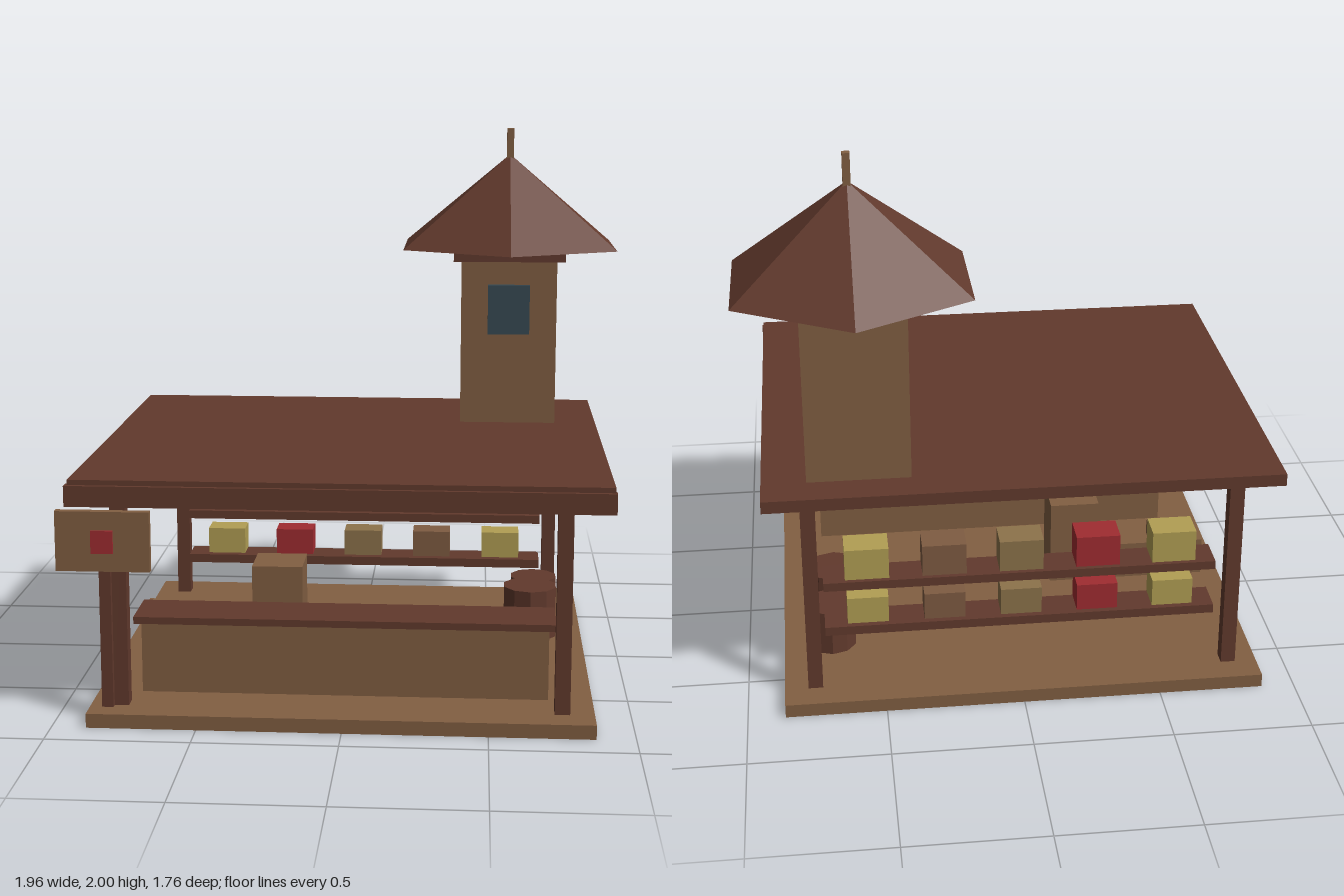
import * as THREE from 'three';

const mat = (name, color) => {
  const m = new THREE.MeshStandardMaterial({ color });
  m.name = name;
  return m;
};

export function createModel() {
  const wood = mat('light wood', 0x825f42);
  const dark = mat('dark wood', 0x623a2d);
  const red = mat('red', 0xa02c31);
  const yellow = mat('straw yellow', 0xb29f54);
  const tan = mat('tan', 0x8d734b);
  const brown = mat('brown', 0x7f5c42);
  const glass = mat('window blue', 0x374a54);

  const model = new THREE.Group();
  model.name = 'marketStall';

  const add = (name, geometry, material, x, y, z) => {
    const mesh = new THREE.Mesh(geometry, material);
    mesh.name = name;
    mesh.position.set(x, y, z);
    model.add(mesh);
    return mesh;
  };
  // Box given by its limits on each axis
  const box = (name, material, [x0, x1], [y0, y1], [z0, z1]) =>
    add(name, new THREE.BoxGeometry(x1 - x0, y1 - y0, z1 - z0), material,
      (x0 + x1) / 2, (y0 + y1) / 2, (z0 + z1) / 2);
  // Faceted cylinder or cone standing on y0
  const prism = (name, material, rTop, rBottom, sides, x, y0, y1, z) => {
    const g = new THREE.CylinderGeometry(rTop, rBottom, y1 - y0, sides).toNonIndexed();
    g.computeVertexNormals();
    return add(name, g, material, x, (y0 + y1) / 2, z);
  };

  // Floor, corner posts and flat roof
  box('floor', wood, [-0.88, 0.865], [0, 0.05], [-0.74, 0.885]);
  for (const x of [-0.8, 0.727]) {
    for (const z of [-0.64, 0.737]) {
      box('cornerPost', dark, [x, x + 0.053], [0.05, 0.83], [z, z + 0.053]);
    }
  }
  box('roof', dark, [-0.925, 0.91], [0.825, 0.87], [-0.725, 0.87]);
  box('roofFascia', dark, [-0.935, 0.915], [0.78, 0.852], [0.85, 0.885]);

  // Counter
  box('counter', wood, [-0.725, 0.71], [0.05, 0.305], [0.475, 0.645]);
  box('counterTop', dark, [-0.75, 0.735], [0.305, 0.33], [0.455, 0.665]);

  // Hanging sign on its own post
  box('signPost', dark, [-0.837, -0.797], [0.05, 0.69], [0.772, 0.812]);
  box('signBoard', wood, [-0.982, -0.657], [0.54, 0.75], [0.8, 0.828]);
  box('signMark', red, [-0.858, -0.782], [0.605, 0.685], [0.828, 0.837]);

  // Back shelves with a row of goods on each
  const goods = [yellow, red, tan, brown, yellow];
  const shelves = [
    { y: [0.222, 0.256], top: 0.365, half: 0.075, z: [-0.555, -0.45] },
    { y: [0.408, 0.441], top: 0.567, half: 0.08, z: [-0.56, -0.445] },
  ];
  for (const { y, top, half, z } of shelves) {
    box('shelf', dark, [-0.725, 0.71], y, [-0.567, -0.44]);
    goods.forEach((material, i) => {
      const x = -0.57 + i * 0.2805;
      box('shelfGoods', material, [x - half, x + half], [y[1] + 0.006, top], z);
    });
  }

  // Row of crates, the last one stacked
  for (const x of [-0.81, -0.598, -0.386]) {
    box('crate', wood, [x, x + 0.19], [0.01, 0.2], [0.01, 0.2]);
  }
  box('stackedCrate', wood, [-0.386, -0.196], [0.2, 0.39], [0.01, 0.2]);

  // Barrels
  prism('barrel', dark, 0.105, 0.105, 10, 0.665, 0.01, 0.247, -0.11);
  prism('barrel', dark, 0.093, 0.093, 10, 0.685, 0.01, 0.222, -0.332);

  // Tower with window, hexagonal roof and finial
  box('tower', wood, [0.385, 0.752], [0.84, 1.5], [-0.597, -0.223]);
  box('towerBand', dark, [0.355, 0.783], [1.5, 1.546], [-0.622, -0.195]);
  box('towerWindow', glass, [0.488, 0.648], [1.22, 1.41], [-0.223, -0.199]);
  prism('towerRoof', dark, 0, 0.47, 6, 0.569, 1.545, 1.9, -0.41);
  box('finial', wood, [0.556, 0.583], [1.86, 2], [-0.424, -0.396]);

  return model;
}
